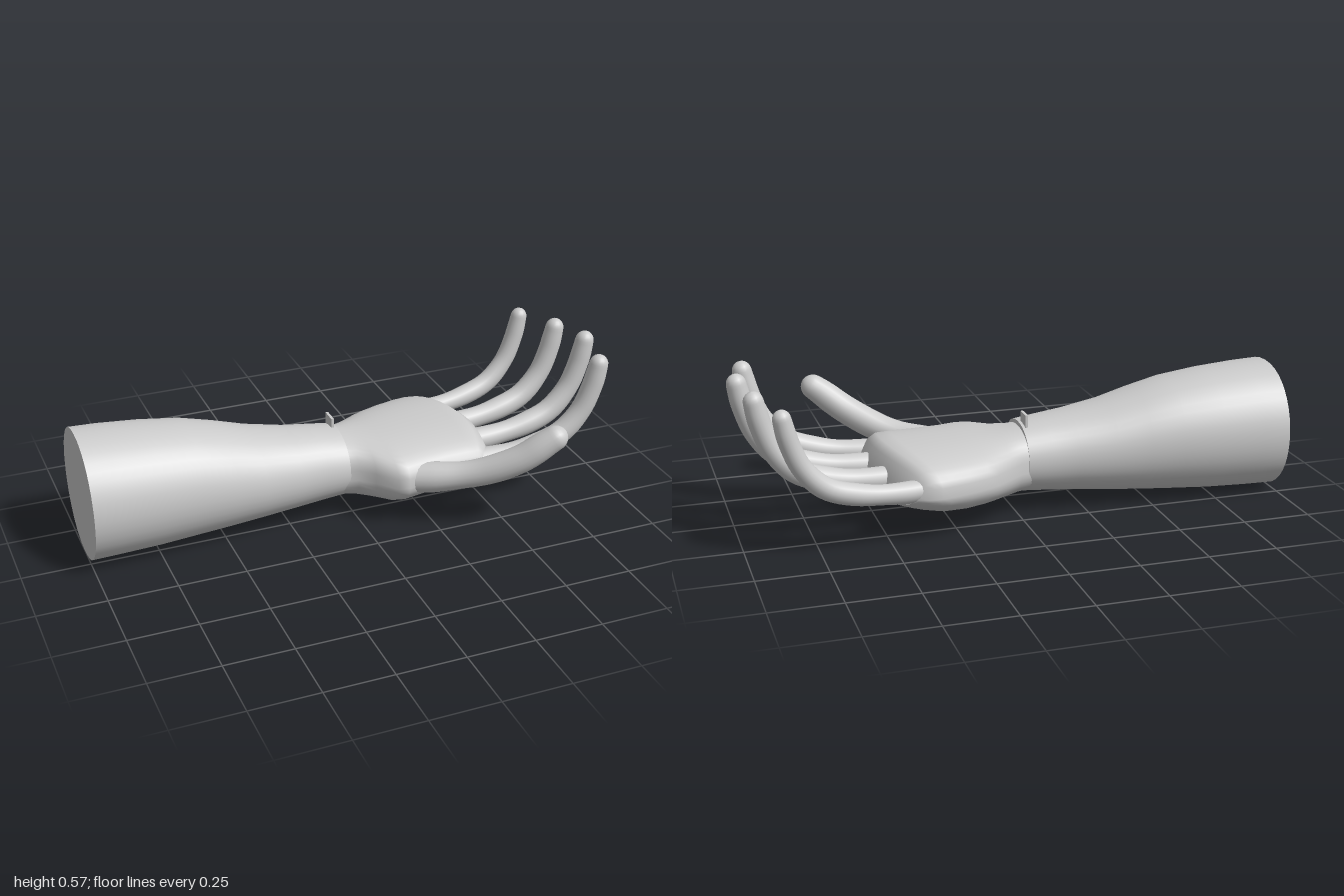
import * as THREE from 'three';

const V = (x, y, z) => new THREE.Vector3(x, y, z);

// Skin a list of equal-length rings; each end is closed with a fan of its own
function loft(rings) {
  const n = rings[0].length, pos = [], idx = [];
  rings.forEach(r => r.forEach(p => pos.push(p.x, p.y, p.z)));
  for (let i = 0; i < rings.length - 1; i++) {
    for (let j = 0; j < n; j++) {
      const k = (j + 1) % n, a = i * n + j, b = i * n + k, c = a + n, d = b + n;
      idx.push(a, c, b, b, c, d);
    }
  }
  [rings[0], rings[rings.length - 1]].forEach((ring, end) => {
    const base = pos.length / 3;
    const mid = ring.reduce((s, p) => s.add(p), V(0, 0, 0)).divideScalar(n);
    [mid, ...ring].forEach(p => pos.push(p.x, p.y, p.z));
    for (let j = 0; j < n; j++) {
      const a = base + 1 + j, b = base + 1 + (j + 1) % n;
      if (end) idx.push(base, b, a); else idx.push(base, a, b);
    }
  });
  const g = new THREE.BufferGeometry();
  g.setAttribute('position', new THREE.Float32BufferAttribute(pos, 3));
  g.setIndex(idx);
  g.computeVertexNormals();
  return g;
}

// Cross-section between y0..y1 and z0..z1, widest at height ym; power < 1 squares the top
function section([x, y0, y1, z0, z1], ym = (y0 + y1) / 2, power = 1, n = 40) {
  return Array.from({ length: n }, (_, j) => {
    const a = j / n * Math.PI * 2, c = Math.cos(a), s = Math.sin(a);
    const y = s > 0 ? ym + (y1 - ym) * Math.pow(s, power) : ym + (ym - y0) * s;
    return V(x, y, (z0 + z1) / 2 + (z1 - z0) / 2 * Math.sign(c) * Math.pow(Math.abs(c), 0.9));
  });
}

// Tapered digit along a curve, with swelling joints and a rounded tip
function digit(points, radii, n = 18, steps = 40) {
  const curve = new THREE.CatmullRomCurve3(points), rings = [];
  const length = curve.getLength(), tip = radii[radii.length - 1];
  for (let i = 0; i <= steps; i++) {
    // squeeze the last rings together so that the tip is a smooth dome
    const t = 1 - Math.pow(1 - i / steps, 1.5);
    const f = t * (radii.length - 1), k = Math.min(Math.floor(f), radii.length - 2);
    let r = THREE.MathUtils.lerp(radii[k], radii[k + 1], THREE.MathUtils.smoothstep(f - k, 0, 1));
    const left = (1 - t) * length;
    if (left < tip) r *= Math.sqrt(Math.max(0.004, 1 - Math.pow(1 - left / tip, 2)));
    const p = curve.getPointAt(t), T = curve.getTangentAt(t);
    const N = V(0, 0, 1).cross(T).normalize(), B = T.clone().cross(N);
    rings.push(Array.from({ length: n }, (_, j) => {
      const a = j / n * Math.PI * 2;
      return p.clone().addScaledVector(B, r * Math.cos(a)).addScaledVector(N, r * Math.sin(a));
    }));
  }
  return loft(rings);
}

export function createModel() {
  const group = new THREE.Group();
  const grey = new THREE.MeshStandardMaterial({ color: 0xcccccc });
  grey.name = 'plain grey';
  const add = (name, geometry) => {
    const mesh = new THREE.Mesh(geometry, grey);
    mesh.name = name;
    group.add(mesh);
    return mesh;
  };

  // Forearm: x, bottom, top, back, front
  add('forearm', loft([
    [-1, 0.003, 0.476, -0.332, 0.137],
    [-0.9, 0.005, 0.472, -0.33, 0.135],
    [-0.75, 0.01, 0.46, -0.322, 0.13],
    [-0.6, 0.02, 0.44, -0.308, 0.12],
    [-0.48, 0.028, 0.41, -0.29, 0.108],
    [-0.36, 0.038, 0.375, -0.27, 0.095],
    [-0.22, 0.05, 0.348, -0.245, 0.08],
    [-0.12, 0.058, 0.335, -0.235, 0.07],
    [-0.03, 0.065, 0.322, -0.23, 0.064],
  ].map(s => section(s))));

  // Small raised edge on the wrist seam
  add('wristRidge', new THREE.BoxGeometry(0.01, 0.06, 0.06)).position.set(-0.045, 0.33, -0.115);

  // Palm: flat on top, round underneath, its finger end bowed outwards
  const palm = [
    [-0.05, 0.07, 0.308, -0.222, 0.058],
    [0, 0.065, 0.302, -0.235, 0.07],
    [0.05, 0.06, 0.297, -0.27, 0.115],
    [0.11, 0.056, 0.295, -0.315, 0.185],
    [0.15, 0.054, 0.295, -0.335, 0.195],
    [0.22, 0.054, 0.295, -0.36, 0.182],
    [0.32, 0.062, 0.296, -0.38, 0.172],
    [0.42, 0.08, 0.296, -0.386, 0.17],
    [0.47, 0.093, 0.293, -0.386, 0.17],
    [0.5, 0.104, 0.27, -0.382, 0.167],
    [0.525, 0.117, 0.21, -0.37, 0.157],
    [0.535, 0.13, 0.165, -0.355, 0.145],
  ].map(s => {
    const ring = section(s, Math.min(0.17, (s[1] + s[2]) / 2 + 0.01), 0.65);
    ring.forEach(p => {
      p.x -= 0.9 * (p.z + 0.02) ** 2 * THREE.MathUtils.smoothstep(p.x, 0.25, 0.5);
    });
    return ring;
  });
  add('palm', loft(palm));

  // Fingers share one curl: tip shift in x, in y, root z, tip z, size
  const curl = [[0.42, 0.195], [0.56, 0.195], [0.72, 0.218], [0.83, 0.262],
    [0.905, 0.345], [0.945, 0.44], [0.963, 0.515], [0.972, 0.57]];
  const fingerRadii = [0.042, 0.044, 0.04, 0.044, 0.043, 0.04, 0.039, 0.034];
  const fingers = {
    indexFinger: [-0.045, -0.01, 0.115, 0.163, 1],
    middleFinger: [0, 0, -0.025, -0.027, 1],
    ringFinger: [-0.032, -0.014, -0.175, -0.205, 1],
    littleFinger: [-0.098, -0.03, -0.325, -0.382, 0.9],
  };
  for (const [name, [dx, dy, z0, z1, size]] of Object.entries(fingers)) {
    const points = curl.map(([x, y], i) => {
      const t = (x - 0.42) / 0.552;
      return V(x + dx, y + dy * i / 7, THREE.MathUtils.lerp(z0, z1, t));
    });
    add(name, digit(points, fingerRadii.map(r => r * size)));
  }

  // Thumb, reaching forwards and up from the heel of the palm
  add('thumb', digit(
    [V(0.12, 0.175, 0.09), V(0.26, 0.19, 0.18), V(0.4, 0.225, 0.265),
      V(0.52, 0.29, 0.335), V(0.61, 0.36, 0.372), V(0.668, 0.402, 0.392)],
    [0.06, 0.058, 0.05, 0.053, 0.052, 0.044]));

  return group;
}
